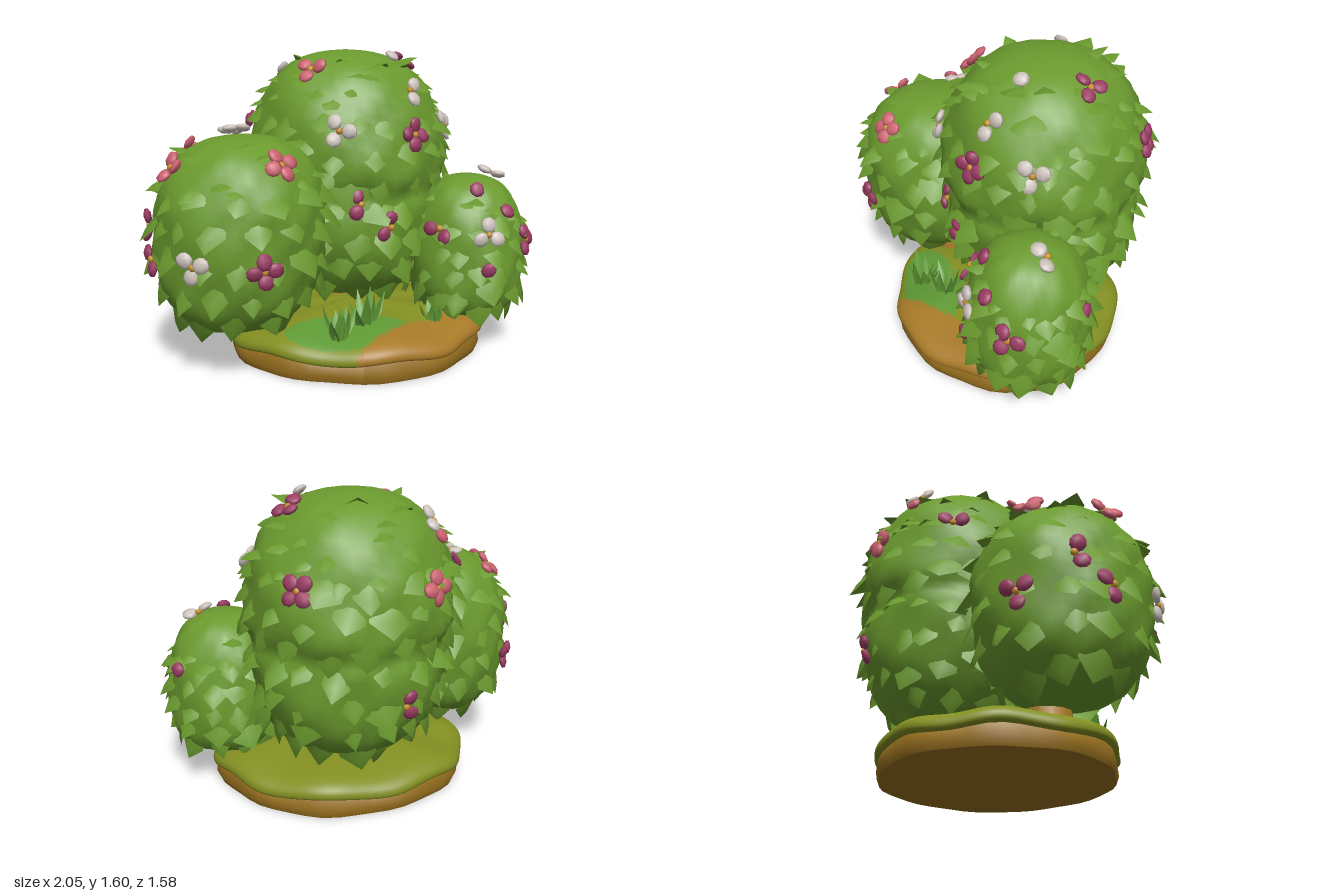
import * as THREE from 'three';
import { mergeGeometries, mergeVertices } from 'three/addons/utils/BufferGeometryUtils.js';

const mat = (name, color, side = THREE.FrontSide) => {
  const m = new THREE.MeshStandardMaterial({ color, side });
  m.name = name;
  return m;
};

let seed = 7;
const rand = (a = 0, b = 1) => {
  seed = (seed * 16807) % 2147483647;
  return a + (b - a) * (seed / 2147483647);
};

const xf = (px, py, pz, sx, sy, sz, rx = 0, ry = 0, rz = 0) => new THREE.Matrix4().compose(
  new THREE.Vector3(px, py, pz),
  new THREE.Quaternion().setFromEuler(new THREE.Euler(rx, ry, rz)),
  new THREE.Vector3(sx, sy, sz));

// Pointed leaf: x across, y towards the tip, z away from the bush
function leafGeometry() {
  const g = new THREE.BufferGeometry();
  g.setAttribute('position', new THREE.Float32BufferAttribute([
    -0.5, 0, -0.2, 0, 0, -0.02, 0.5, 0, -0.2,
    -0.55, 0.5, -0.08, 0, 0.55, 0.2, 0.55, 0.5, -0.08, 0, 1, 0.28], 3));
  g.setIndex([0, 1, 4, 0, 4, 3, 1, 2, 5, 1, 5, 4, 3, 4, 6, 4, 5, 6]);
  g.computeVertexNormals();
  return g;
}

export function createModel() {
  const model = new THREE.Group();
  model.name = 'floweringBushes';
  const M = {
    leaf: mat('leafGreen', 0x6b9a2e, THREE.DoubleSide),
    olive: mat('oliveGrass', 0x838f22),
    grass: mat('freshGrass', 0x5f9a35, THREE.DoubleSide),
    dirt: mat('pathDirt', 0xa87a28),
    soil: mat('soilBrown', 0x98701f),
    pink: mat('petalPink', 0xcc6270),
    magenta: mat('petalMagenta', 0x9c3c64),
    white: mat('petalWhite', 0xcfc5be),
    gold: mat('flowerGold', 0xc8902a),
  };
  const add = (parent, name, geo, material) => {
    const m = new THREE.Mesh(geo, material);
    m.name = name;
    parent.add(m);
    return m;
  };
  const leaf = leafGeometry();
  const petal = new THREE.SphereGeometry(1, 7, 5);

  // Leafy bush: lumpy lathe body, rows of leaves, flower clusters [colour, height, azimuth, petals]
  function bush(name, { cx, cz, lean, profile, size, denseTo, rows, scatter, flowers }) {
    const group = new THREE.Group();
    group.name = name;
    model.add(group);
    const curve = new THREE.SplineCurve(profile.map(p => new THREE.Vector2(...p)));
    const y0 = profile[0][1], y1 = profile.at(-1)[1], mid = (y0 + y1) / 2;

    const pts = curve.getPoints(36).map(p => new THREE.Vector2(Math.max(p.x, 0), p.y));
    let body = new THREE.LatheGeometry(pts, 48);
    body.deleteAttribute('uv');
    body.deleteAttribute('normal');
    const pos = body.attributes.position;
    for (let i = 0; i < pos.count; i++) {
      const x = pos.getX(i), y = pos.getY(i), z = pos.getZ(i), a = Math.atan2(x, z);
      const k = 1 + 0.016 * Math.sin(5 * a + y * 13) + 0.02 * Math.sin(11 * a - y * 24);
      pos.setXYZ(i, cx + x * k + lean * (y - mid), y, cz + z * k);
    }
    body = mergeVertices(body, 1e-4);
    body.computeVertexNormals();
    add(group, name + 'Body', body, M.leaf);

    // Surface frame at a height and azimuth: x sideways, y downhill, z outwards
    const frame = (y, a, out = 0) => {
      let lo = 0, hi = 1;
      for (let i = 0; i < 24; i++) {
        const t = (lo + hi) / 2;
        if (curve.getPoint(t).y < y) lo = t; else hi = t;
      }
      const p = curve.getPoint(lo), d = curve.getTangent(lo), s = Math.sin(a), c = Math.cos(a);
      const normal = new THREE.Vector3(d.y * s, -d.x, d.y * c);
      const down = new THREE.Vector3(-d.x * s, -d.y, -d.x * c);
      const f = new THREE.Matrix4().makeBasis(new THREE.Vector3(-c, 0, s), down, normal);
      f.setPosition(cx + p.x * s + lean * (p.y - mid) + normal.x * out,
        p.y + normal.y * out, cz + p.x * c + normal.z * out);
      return { f, r: p.x };
    };
    const leaves = [];
    const addLeaf = (y, a, s, tilt) => leaves.push(leaf.clone().applyMatrix4(
      frame(y, a).f.multiply(xf(0, -s * 0.3, -0.004, s * rand(0.8, 1.2), s, s, tilt, 0, rand(-0.35, 0.35)))));
    for (let r = 0; r < rows; r++) {
      const y = y0 + 0.07 + (denseTo - y0 - 0.07) * r / (rows - 1);
      const n = Math.round(frame(y, 0).r * 2 * Math.PI / (size * 1.3));
      for (let i = 0; i < n; i++)
        addLeaf(y + rand(-0.035, 0.035), (i + (r % 2) / 2 + rand(-0.2, 0.2)) / n * Math.PI * 2,
          size * rand(0.75, 1.15), rand(0, 0.3));
    }
    for (let i = 0; i < scatter; i++)
      addLeaf(rand(denseTo, y1 - 0.03), i * 2.4, size * rand(0.5, 0.85), rand(0.1, 0.5));
    add(group, name + 'Leaves', mergeGeometries(leaves), M.leaf);

    const parts = {};
    for (const [colour, y, deg, n = 3] of flowers) {
      const { f } = frame(y, deg * Math.PI / 180, 0.024);
      const turn = rand(0, 6), step = n > 3 ? Math.PI / 2 : 2.1;
      for (let i = 0; i < n; i++) {
        const a = turn + i * step, d = n > 1 ? 0.05 : 0;
        const m = f.clone().multiply(xf(Math.cos(a) * d, Math.sin(a) * d, 0.006,
          0.043, 0.039, 0.02, rand(-0.3, 0.3), rand(-0.3, 0.3), a));
        (parts[colour] ??= []).push(petal.clone().applyMatrix4(m));
      }
      if (n > 1) (parts.gold ??= []).push(petal.clone().applyMatrix4(
        f.clone().multiply(xf(0, 0, 0.006, 0.018, 0.018, 0.014))));
    }
    for (const c in parts) add(group, name + 'Flowers_' + c, mergeGeometries(parts[c]), M[c]);
  }

  bush('tallBush', {
    cx: 0.03, cz: -0.19, lean: -0.02, size: 0.14, denseTo: 1.24, rows: 7, scatter: 46,
    profile: [[0, 0.28], [0.28, 0.3], [0.42, 0.43], [0.49, 0.6], [0.51, 0.78], [0.5, 0.87], [0.535, 0.97],
      [0.53, 1.12], [0.495, 1.28], [0.42, 1.43], [0.3, 1.54], [0.15, 1.595], [0, 1.61]],
    flowers: [['pink', 1.49, -32], ['white', 1.21, -8], ['white', 1.39, 40, 2], ['magenta', 1.18, 35, 4],
      ['white', 1.21, 69], ['magenta', 1.52, 112], ['magenta', 1.21, 145, 4], ['pink', 1.19, 219, 4],
      ['white', 1.45, 240, 2], ['pink', 1.39, 238, 1], ['magenta', 1.2, 266, 2], ['magenta', 0.64, 203, 2],
      ['magenta', 0.84, 3, 2], ['magenta', 0.72, 20, 2], ['white', 1.55, 52, 1]],
  });
  bush('leftBush', {
    cx: -0.545, cz: 0.3, lean: 0.05, size: 0.14, denseTo: 0.95, rows: 5, scatter: 22,
    profile: [[0, 0.23], [0.22, 0.25], [0.35, 0.36], [0.41, 0.53], [0.43, 0.75], [0.41, 0.93], [0.32, 1.09],
      [0.18, 1.175], [0, 1.2]],
    flowers: [['pink', 1.05, -60], ['pink', 1.07, 33, 4], ['pink', 1.09, 240], ['white', 1.18, 200, 4],
      ['white', 0.64, -25], ['magenta', 0.62, 18, 4], ['magenta', 0.62, -68, 2], ['magenta', 0.6, 237],
      ['magenta', 0.75, 270, 2]],
  });
  bush('rightBush', {
    cx: 0.665, cz: 0.045, lean: 0, size: 0.12, denseTo: 0.7, rows: 5, scatter: 18,
    profile: [[0, 0.19], [0.2, 0.21], [0.285, 0.3], [0.31, 0.43], [0.305, 0.6], [0.275, 0.76], [0.2, 0.88],
      [0.1, 0.935], [0, 0.95]],
    flowers: [['magenta', 0.7, -38, 2], ['white', 0.68, 8], ['magenta', 0.62, 58, 3], ['magenta', 0.5, 8, 1],
      ['magenta', 0.88, 0, 1], ['white', 0.925, 110, 2], ['magenta', 0.78, 32, 1], ['magenta', 0.69, 130, 1]],
  });

  // Short trunks hidden under the bushes
  for (const [x, z, r, h] of [[0.03, -0.19, 0.16, 0.45], [-0.4, 0.24, 0.1, 0.4], [0.58, 0.02, 0.08, 0.35]]) {
    const t = add(model, 'trunk', new THREE.CylinderGeometry(r * 0.8, r * 1.3, h, 12), M.dirt);
    t.position.set(x, 0.1 + h / 2, z);
  }

  // Oval island: soil rim below, grass on top with a dirt path and a fresher patch
  const oval = (pts, seg) => {
    const g = new THREE.LatheGeometry(pts.map(p => new THREE.Vector2(...p)), seg);
    const p = g.attributes.position;
    for (let i = 0; i < p.count; i++) {
      const x = p.getX(i), z = p.getZ(i), a = Math.atan2(x, z);
      const k = 1 + 0.012 * Math.sin(5 * a) + 0.01 * Math.sin(11 * a + 1);
      const edge = Math.hypot(x, z);
      const lift = p.getY(i) > 0.09 ? 0.012 * edge * Math.sin(7 * a) : 0;
      p.setXYZ(i, 0.05 + x * k * 0.69, p.getY(i) + lift, 0.02 + z * k * 0.62);
    }
    g.computeVertexNormals();
    return g;
  };
  add(model, 'islandSoil', oval([[0, 0.01], [0.975, 0.01], [0.975, 0.01], [1, 0.05], [0.985, 0.1], [0.95, 0.12]], 48), M.soil);

  const profile = new THREE.SplineCurve([[0.95, 0.1], [1.015, 0.115], [1.01, 0.155], [0.94, 0.19], [0.8, 0.215],
    [0.5, 0.245], [0, 0.26]].map(p => new THREE.Vector2(...p)));
  const top = oval(profile.getPoints(28).map(p => [Math.max(p.x, 0), p.y]), 120);
  const buckets = [[], [], []], index = top.index, tp = top.attributes.position;
  for (let i = 0; i < index.count; i += 3) {
    const tri = [0, 1, 2].map(k => index.getX(i + k));
    const x = tri.reduce((s, v) => s + tp.getX(v), 0) / 3, z = tri.reduce((s, v) => s + tp.getZ(v), 0) / 3;
    const path = z > 0.15 && x + z > 0.67 && x * 0.55 + z > 0.52 + 0.03 * Math.sin(x * 20);
    const fresh = Math.hypot((x - 0.01) / 0.34, (z - 0.45) / 0.15) < 1;
    buckets[path ? 1 : fresh ? 2 : 0].push(...tri);
  }
  top.setIndex(buckets.flat());
  top.clearGroups();
  buckets.reduce((start, b, i) => (top.addGroup(start, b.length, i), start + b.length), 0);
  add(model, 'islandGrass', top, [M.olive, M.dirt, M.grass]);

  // Grass tufts of splayed blades, their faces turned up
  for (const [x, z, h, n] of [[-0.06, 0.5, 0.19, 10], [0.08, 0.38, 0.22, 10], [0.45, 0.3, 0.14, 6]]) {
    const blades = [];
    for (let i = 0; i < n; i++) {
      const m = xf(x, 0.19, z, 1, 1, 1, 0, i * 2.4, 0)
        .multiply(xf(0, 0, 0.02, 0.045, h * rand(0.7, 1.1), 0.05, rand(0.1, 0.8), Math.PI, 0));
      blades.push(leaf.clone().applyMatrix4(m));
    }
    add(model, 'grassTuft', mergeGeometries(blades), M.grass);
  }
  return model;
}
